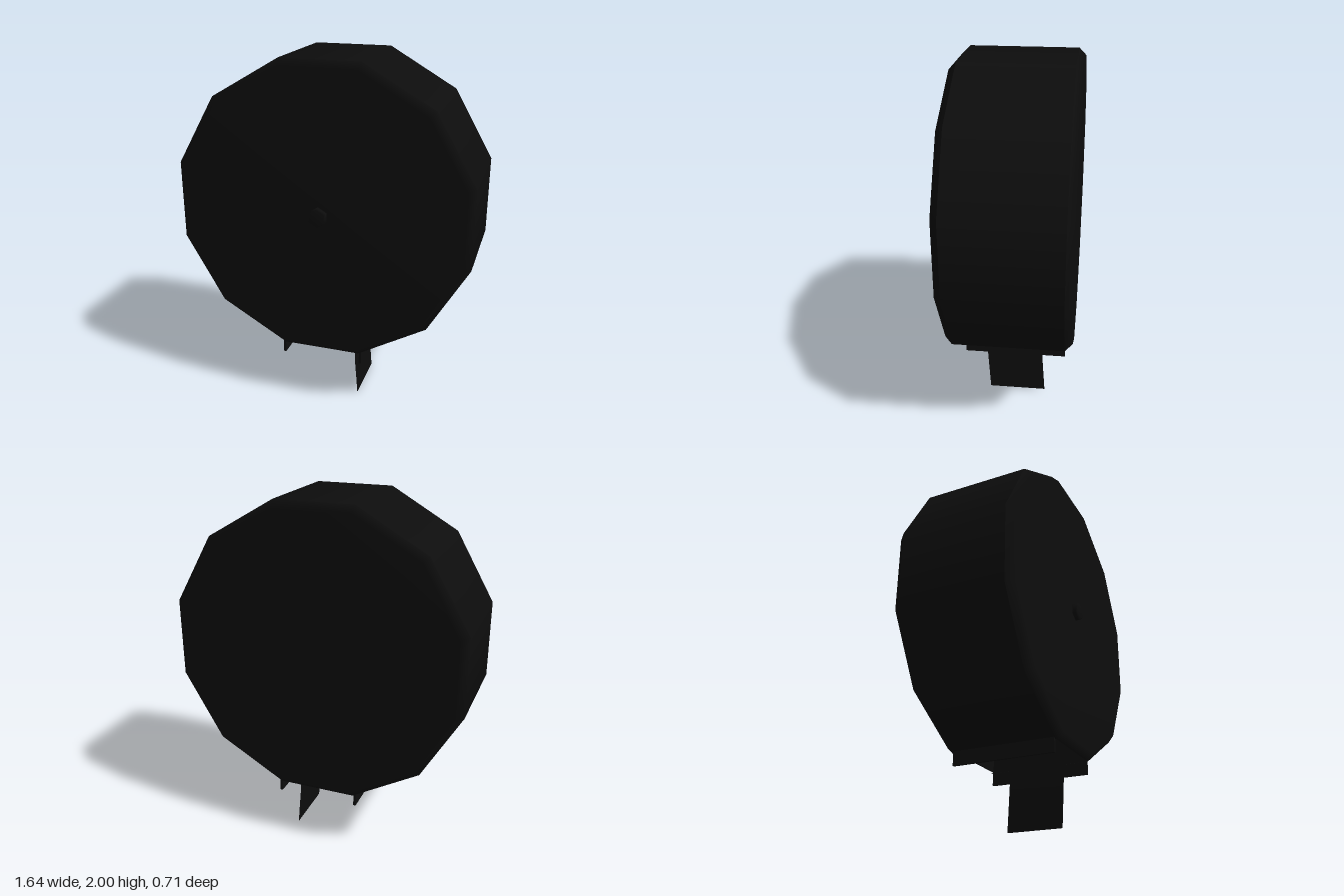
import * as THREE from 'three';

const CENTER_Y = 1.18, RADIUS = 0.849, FRONT = 0.327, BACK = -0.355, BEVEL = 0.04;
const STEP = Math.PI / 6;

export function createModel() {
  const group = new THREE.Group();
  const black = new THREE.MeshStandardMaterial({ color: 0x0d0d0d });
  black.name = 'black plastic';
  const blackSheet = new THREE.MeshStandardMaterial({ color: 0x0d0d0d, side: THREE.DoubleSide });
  blackSheet.name = 'black sheet';

  const add = (name, geometry, x = 0, y = 0, z = 0, material = black) => {
    const mesh = new THREE.Mesh(geometry, material);
    mesh.name = name;
    mesh.position.set(x, y, z);
    group.add(mesh);
    return mesh;
  };
  // Lathe turned so its axis runs along z; angle 0 points straight down
  const turned = (profile, sides, start, length) =>
    new THREE.LatheGeometry(profile.map(p => new THREE.Vector2(...p)), sides, start, length)
      .rotateX(Math.PI / 2);

  // Twelve-sided drum, its bottom facet left open for the paper slot
  add('drumWall', turned([[RADIUS, BACK + BEVEL], [RADIUS, FRONT - BEVEL]], 11, STEP / 2, STEP * 11),
    0, CENTER_Y, 0, blackSheet);
  add('frontCover', turned([[RADIUS, FRONT - BEVEL], [RADIUS - BEVEL, FRONT], [0, FRONT]],
    12, STEP / 2, Math.PI * 2), 0, CENTER_Y);
  add('backCover', turned([[0, BACK], [RADIUS - BEVEL, BACK], [RADIUS, BACK + BEVEL]],
    12, STEP / 2, Math.PI * 2), 0, CENTER_Y);

  // Six-sided lock button on the front
  add('lockButton', turned([[0.055, 0.32], [0.055, 0.345], [0.047, 0.355], [0, 0.355]],
    6, 0, Math.PI * 2), 0, CENTER_Y);

  // Slot: side guides that stick out below, end walls and a ceiling
  for (const side of [-1, 1]) {
    add(side > 0 ? 'leftGuide' : 'rightGuide', new THREE.BoxGeometry(0.014, 0.27, 0.585),
      side * 0.229, 0.425, -0.0125);
    add(side > 0 ? 'slotFrontWall' : 'slotBackWall', new THREE.BoxGeometry(0.45, 0.19, 0.008),
      0, 0.465, -0.0125 + side * 0.292);
  }
  add('slotCeiling', new THREE.BoxGeometry(0.45, 0.01, 0.585), 0, 0.56, -0.0125);

  // Hanging paper sheet, bowed slightly and drifting backwards at its end
  const bend = new THREE.CatmullRomCurve3([
    [0.178, 0, -0.02], [0.172, 0.12, -0.011], [0.166, 0.25, -0.002], [0.174, 0.37, 0], [0.18, 0.56, 0],
  ].map(p => new THREE.Vector3(...p)));
  const paper = new THREE.PlaneGeometry(0.33, 1, 1, 12);
  const pos = paper.attributes.position;
  for (let i = 0; i < pos.count; i++) {
    const p = bend.getPoint(pos.getY(i) + 0.5);
    pos.setXYZ(i, p.x, p.y, p.z - pos.getX(i));
  }
  paper.computeVertexNormals();
  add('paperSheet', paper, 0, 0, 0, blackSheet);

  return group;
}
